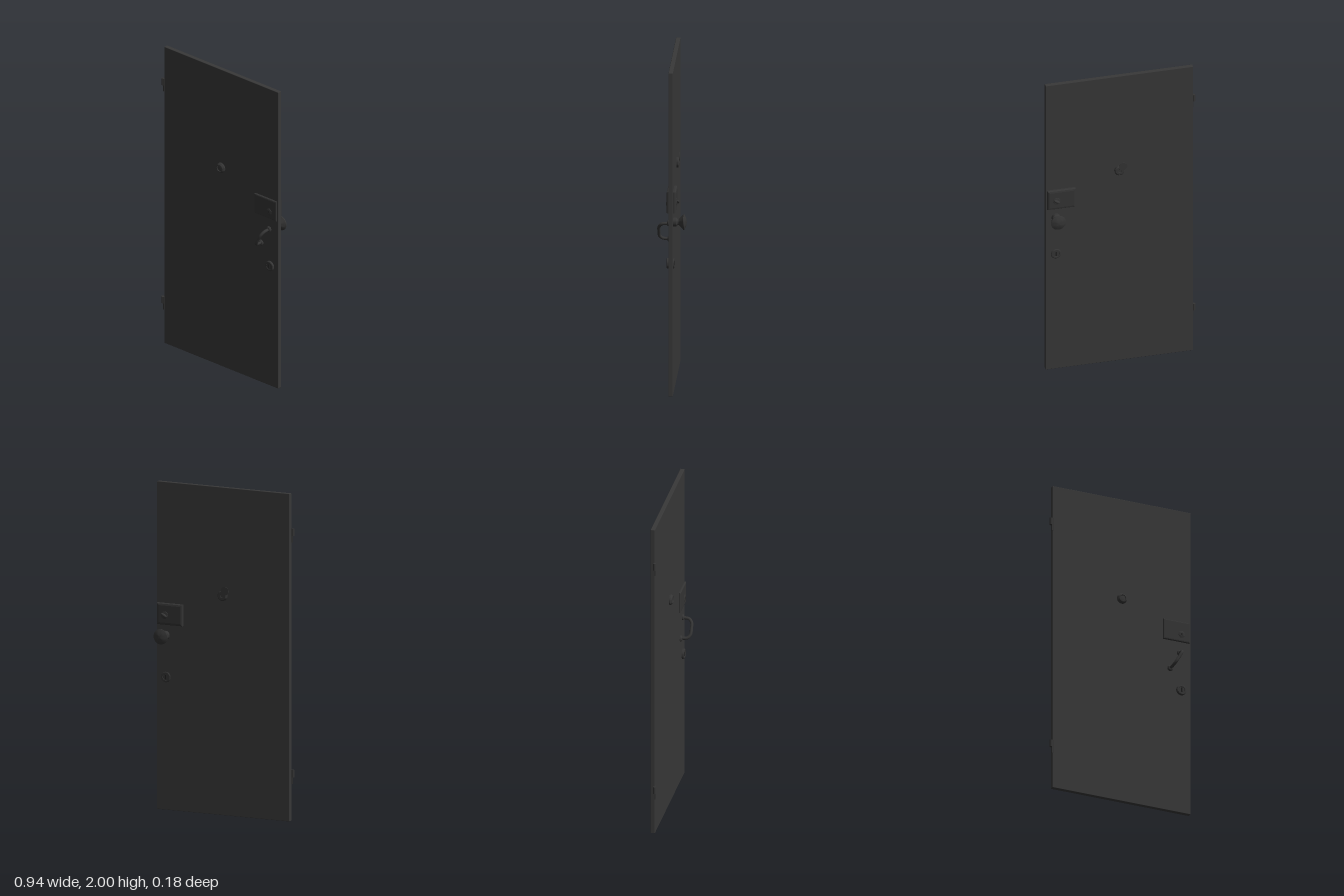
import * as THREE from 'three';
import { toCreasedNormals } from 'three/addons/utils/BufferGeometryUtils.js';
import { RoundedBoxGeometry } from 'three/addons/geometries/RoundedBoxGeometry.js';

export function createModel() {
  const model = new THREE.Group();
  const mat = (name, color) => {
    const m = new THREE.MeshStandardMaterial({ color });
    m.name = name;
    return m;
  };
  const doorPaint = mat('charcoal door', 0x383838);
  const metal = mat('dark metal', 0x343434);
  const slotBlack = mat('slot black', 0x202020);

  const add = (name, geometry, material, x = 0, y = 0, z = 0, parent = model) => {
    const mesh = new THREE.Mesh(geometry, material);
    mesh.name = name;
    mesh.position.set(x, y, z);
    parent.add(mesh);
    return mesh;
  };

  // Round fitting turned about the z axis; profile is [radius, distance out], side 1 = front, -1 = back
  const turned = (name, x, y, side, profile) => {
    const g = new THREE.LatheGeometry(profile.map(p => new THREE.Vector2(p[0], p[1])), 24);
    g.rotateX(side * Math.PI / 2);
    return add(name, toCreasedNormals(g, 0.5), metal, x, y, 0);
  };

  // Door slab
  add('doorSlab', new RoundedBoxGeometry(0.916, 2, 0.027, 1, 0.003), doorPaint, 0.006, 1, 0.0045);

  // Hinges: knuckle and leaf
  for (const y of [1.785, 0.312]) {
    const hinge = new THREE.Group();
    hinge.name = 'hinge';
    model.add(hinge);
    add('hingeKnuckle', new THREE.CylinderGeometry(0.009, 0.009, 0.045, 16), metal, -0.462, y - 0.0225, 0.018, hinge);
    add('hingeLeaf', new THREE.BoxGeometry(0.014, 0.085, 0.007), metal, -0.452, y - 0.0425, 0.0185, hinge);
  }

  // Peephole with a swung-aside cover on the back
  turned('peepholeFront', 0.007, 1.34, 1,
    [[0.032, 0.015], [0.032, 0.026], [0.024, 0.036], [0.02, 0.037], [0.018, 0.032], [0, 0.034]]);
  turned('peepholeBack', 0.007, 1.34, -1,
    [[0.032, 0.006], [0.032, 0.018], [0.025, 0.024], [0.012, 0.024], [0.01, 0.021], [0, 0.021]]);
  const cover = add('peepholeCover', new THREE.CylinderGeometry(0.026, 0.026, 0.002, 24), metal, -0.013, 1.37, -0.024);
  cover.rotation.x = Math.PI / 2;
  turned('peepholeCoverPivot', 0.004, 1.352, -1, [[0.005, 0.02], [0.005, 0.027], [0, 0.028]]);

  // Lock case on both faces, with bevelled rims
  const lockPlate = (name, depth, bevel, base, side) => {
    const w = 0.0875 - bevel, h = 0.066 - bevel;
    const s = new THREE.Shape();
    s.moveTo(-w, -h).lineTo(w, -h).lineTo(w, h).lineTo(-w, h).closePath();
    const g = new THREE.ExtrudeGeometry(s, {
      depth, bevelEnabled: true, bevelSize: bevel, bevelThickness: bevel * 0.6, bevelSegments: 2,
    });
    if (side < 0) g.rotateY(Math.PI);
    add(name, g, metal, 0.368, 1.196, side * base);
  };
  lockPlate('lockPlateFront', 0.012, 0.008, 0.0125, 1);
  lockPlate('lockCaseBack', 0.012, 0.014, 0.007, -1);
  turned('lockCylinder', 0.4, 1.178, 1, [[0.022, 0.026], [0.022, 0.031], [0.018, 0.033], [0, 0.033]]);
  add('lockKeySlot', new THREE.BoxGeometry(0.004, 0.016, 0.002), slotBlack, 0.4, 1.178, 0.033);
  turned('thumbTurnBase', 0.4, 1.19, -1, [[0.024, 0.026], [0.023, 0.03], [0.012, 0.033], [0, 0.033]]);
  const thumb = add('thumbTurn', new THREE.SphereGeometry(1, 20, 12), metal, 0.4, 1.19, -0.035);
  thumb.scale.set(0.022, 0.009, 0.011);
  thumb.rotation.z = 0.5;

  // Slanted pull handle on the front
  const ends = [[0.391, 1.055], [0.327, 0.943]];
  const at = (t, z) => new THREE.Vector3(
    ends[0][0] + (ends[1][0] - ends[0][0]) * t, ends[0][1] + (ends[1][1] - ends[0][1]) * t, z);
  const path = new THREE.CatmullRomCurve3([
    at(0.03, 0.015), at(0.02, 0.04), at(0.06, 0.062), at(0.22, 0.078),
    at(0.5, 0.08), at(0.78, 0.078), at(0.94, 0.062), at(0.98, 0.04), at(0.97, 0.015),
  ]);
  add('pullHandle', new THREE.TubeGeometry(path, 40, 0.0095, 12), metal);
  for (const [x, y] of ends) {
    turned('handleRosette', x, y, 1, [[0.018, 0.016], [0.018, 0.024], [0.013, 0.03], [0, 0.031]]);
  }

  // Round knob on the back
  turned('doorKnob', 0.401, 1.065, -1, [
    [0.027, 0.006], [0.027, 0.026], [0.024, 0.03], [0.018, 0.034], [0.017, 0.04], [0.022, 0.046],
    [0.034, 0.058], [0.047, 0.07], [0.047, 0.076], [0.032, 0.083], [0.012, 0.089], [0, 0.09],
  ]);

  // Lower lock cylinder on both faces
  for (const [side, out] of [[1, 0.032], [-1, 0.015]]) {
    turned(side > 0 ? 'lowerLockFront' : 'lowerLockBack', 0.4, 0.81, side, [
      [0.032, 0.004], [0.032, out - 0.003], [0.028, out], [0.02, out], [0.019, out - 0.003], [0, out - 0.003],
    ]);
    add('lowerLockSlot', new THREE.BoxGeometry(0.007, 0.026, 0.004), slotBlack, 0.4, 0.81, side * (out - 0.002));
  }

  return model;
}
